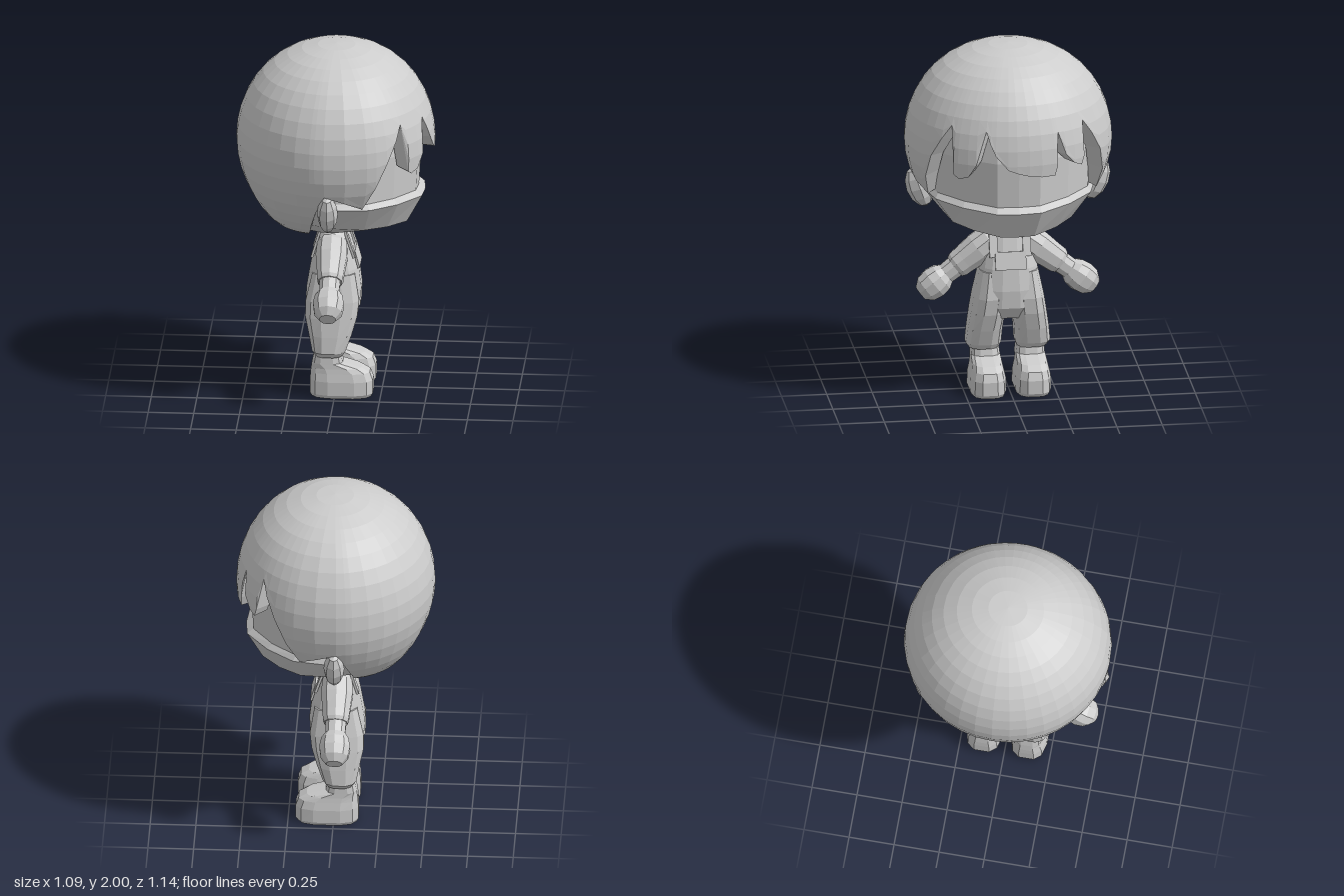
import * as THREE from 'three';

const grey = new THREE.MeshStandardMaterial({ color: 0xcccccc, flatShading: true, side: THREE.DoubleSide });
grey.name = 'plain grey';

function toGeometry(points) {
  const g = new THREE.BufferGeometry().setFromPoints(points);
  g.computeVertexNormals();
  return g;
}

// Closed skin over rings of points, ordered bottom to top, with fan caps.
function skin(rings) {
  const out = [], n = rings[0].length;
  const mid = r => r.reduce((s, p) => s.add(p), new THREE.Vector3()).divideScalar(n);
  const low = rings[0], high = rings[rings.length - 1], c0 = mid(low), c1 = mid(high);
  for (let i = 0; i < n; i++) {
    const k = (i + 1) % n;
    out.push(c0, low[i], low[k], c1, high[k], high[i]);
    for (let j = 0; j + 1 < rings.length; j++) {
      const a = rings[j], b = rings[j + 1];
      out.push(a[i], b[i], a[k], a[k], b[i], b[k]);
    }
  }
  return toGeometry(out);
}

// Rounded sections given as [y, xBack, xFront, zMin, zMax].
function loft(sections, n = 12, power = 0.8) {
  const bend = v => Math.sign(v) * Math.pow(Math.abs(v), power);
  return skin(sections.map(([y, x0, x1, z0, z1]) => Array.from({ length: n }, (_, i) => {
    const a = (i + 0.5) / n * Math.PI * 2;
    return new THREE.Vector3((x0 + x1) / 2 + bend(Math.cos(a)) * (x1 - x0) / 2, y,
      (z0 + z1) / 2 + bend(Math.sin(a)) * (z1 - z0) / 2);
  })));
}

// Hair shell: columns round the head, each cut off at the hairline.
function hairGeometry() {
  const line = [
    [-102, 0.92], [-99, 1.18], [-93.5, 1.29], [-81, 1.25], [-68, 1.2], [-62, 1.33], [-55, 1.47], [-48, 1.58],
    [-42.5, 1.66], [-40, 1.47], [-38, 1.42], [-33, 1.44], [-27, 1.5], [-23, 1.63], [-21.5, 1.45], [-20, 1.39],
    [-12, 1.39], [-5, 1.4], [2, 1.42], [7, 1.44], [14, 1.52], [17, 1.58], [20, 1.65], [25, 1.46], [30, 1.385],
    [36, 1.37], [39, 1.39], [42.5, 1.66], [48, 1.58], [55, 1.47], [62, 1.33], [68, 1.2], [81, 1.25],
    [93.5, 1.29], [99, 1.18], [102, 0.92]];
  for (let a = 111; a < 258; a += 9.75) line.push([a, 0.92]);
  const mid = new THREE.Vector3(0, 1.46, 0), rows = 20;
  const at = (deg, th) => {
    const a = deg * Math.PI / 180, c = Math.cos(th);
    const s = Math.pow(Math.max(0, Math.sin(th)), c > 0 ? 0.9 : 1);
    return new THREE.Vector3(Math.cos(a) * s * (Math.cos(a) > 0 ? 0.54 : 0.55) - (c < 0 ? 0.13 * c ** 4 : 0),
      1.46 + 0.54 * c, Math.sin(a) * s * 0.57);
  };
  const columns = line.map(([deg, y]) => {
    const end = Math.acos(Math.max(-1, (y - 1.46) / 0.54));
    const col = [];
    for (let j = 0; j <= rows; j++) col.push(at(deg, Math.min(end, j / rows * Math.PI)));
    // rim turning inward to the face
    col.push(mid.clone().lerp(col[rows], 0.84));
    return col;
  });
  const out = [];
  const tri = (a, b, c) => {
    if (a.distanceTo(b) > 1e-5 && b.distanceTo(c) > 1e-5 && a.distanceTo(c) > 1e-5) out.push(a, b, c);
  };
  columns.forEach((p, i) => {
    const q = columns[(i + 1) % columns.length];
    for (let j = 0; j <= rows; j++) {
      tri(p[j], q[j], p[j + 1]);
      tri(q[j], q[j + 1], p[j + 1]);
    }
  });
  return toGeometry(out);
}

// Head: one outline scaled per level, with a ledge under the eyes.
function headGeometry() {
  const half = [[0.465, 0], [0.455, 0.12], [0.34, 0.29], [0.2, 0.42], [0, 0.475], [-0.15, 0.45], [-0.33, 0.3], [-0.4, 0]];
  const outline = half.concat(half.slice(1, -1).reverse().map(([x, z]) => [x, -z]));
  // [y at the front, rise toward the back, x scale, z scale]
  const levels = [[0.955, -0.008, 0.45, 0.32], [1.005, 0.045, 0.86, 0.78], [1.165, 0.03, 1.045, 1.02],
    [1.195, 0.03, 0.97, 0.98], [1.45, 0, 1, 1], [1.7, 0, 0.9, 0.9]];
  return skin(levels.map(([y, rise, sx, sz]) => outline.map(([x, z]) =>
    new THREE.Vector3(x * sx, y + rise * (1 - x / 0.465), z * sz))));
}

export function createModel() {
  const model = new THREE.Group();
  const add = (name, geometry, parent = model) => {
    const m = new THREE.Mesh(geometry, grey);
    m.name = name;
    parent.add(m);
    return m;
  };

  add('hair', hairGeometry());
  add('head', headGeometry());
  add('neck', loft([[0.9, -0.08, 0.05, -0.07, 0.07], [0.98, -0.08, 0.05, -0.07, 0.07]], 10, 1));

  // shirt and upper part of the dungarees
  add('torso', loft([
    [0.43, -0.13, 0.09, -0.17, 0.17], [0.5, -0.17, 0.135, -0.19, 0.19], [0.6, -0.165, 0.14, -0.18, 0.18],
    [0.72, -0.145, 0.125, -0.16, 0.16], [0.8, -0.13, 0.1, -0.145, 0.145],
    [0.9, -0.1, 0.07, -0.14, 0.14], [0.955, -0.07, 0.03, -0.09, 0.09]], 16));
  const bib = add('bib', new THREE.BoxGeometry(0.012, 0.1, 0.17));
  bib.position.set(0.113, 0.77, 0);
  bib.rotation.z = 0.27;

  for (const side of [1, -1]) {
    const name = side > 0 ? 'right' : 'left';
    const sided = (rows, power) => loft(rows.map(([y, x0, x1, zi, zo]) =>
      [y, x0, x1, Math.min(side * zi, side * zo), Math.max(side * zi, side * zo)]), 12, power);

    // ear, tipped outward at the top
    const ear = add(name + 'Ear', new THREE.SphereGeometry(1, 8, 6));
    ear.scale.set(0.057, 0.12, 0.072);
    ear.position.set(-0.018, 1.18, side * 0.488);
    ear.rotation.x = side * 0.35;

    for (const [x, lean, part] of [[0.077, 0.32, 'FrontStrap'], [-0.107, -0.28, 'BackStrap']]) {
      const strap = add(name + part, new THREE.BoxGeometry(0.014, 0.16, 0.045));
      strap.position.set(x, 0.865, side * 0.092);
      strap.rotation.z = lean;
    }

    add(name + 'TrouserLeg', sided([
      [0.24, -0.11, 0.045, 0.05, 0.215], [0.268, -0.127, 0.062, 0.036, 0.235], [0.36, -0.145, 0.095, 0.03, 0.225],
      [0.46, -0.167, 0.125, 0.015, 0.21], [0.55, -0.165, 0.135, 0.01, 0.195], [0.7, -0.13, 0.11, 0.02, 0.163]], 0.75));
    add(name + 'Boot', sided([
      [0.005, -0.13, 0.2, 0.03, 0.217], [0.025, -0.14, 0.212, 0.022, 0.226], [0.1, -0.14, 0.212, 0.025, 0.223],
      [0.145, -0.137, 0.195, 0.035, 0.213], [0.172, -0.133, 0.15, 0.04, 0.208], [0.2, -0.128, 0.045, 0.042, 0.205],
      [0.26, -0.115, 0.03, 0.05, 0.2]], 0.65));

    // arm pieces run along the local y axis, sloping down and out
    const arm = new THREE.Group();
    arm.name = name + 'Arm';
    arm.position.set(-0.018, 0.87, side * 0.08);
    arm.rotation.x = side * 2.23;
    model.add(arm);
    const limb = (part, rows) => add(name + part, loft(rows.map(([t, rx, rz]) => [t, -rx, rx, -rz, rz]), 10, 0.9), arm);
    limb('Sleeve', [[-0.04, 0.06, 0.05], [0.02, 0.085, 0.085], [0.1, 0.09, 0.09], [0.2, 0.078, 0.08],
      [0.245, 0.074, 0.077], [0.265, 0.066, 0.068]]);
    limb('Forearm', [[0.2, 0.062, 0.064], [0.36, 0.055, 0.058]]);
    limb('Hand', [[0.325, 0.055, 0.058], [0.36, 0.078, 0.08], [0.41, 0.088, 0.088], [0.465, 0.078, 0.078],
      [0.505, 0.045, 0.045]]);
  }
  return model;
}
